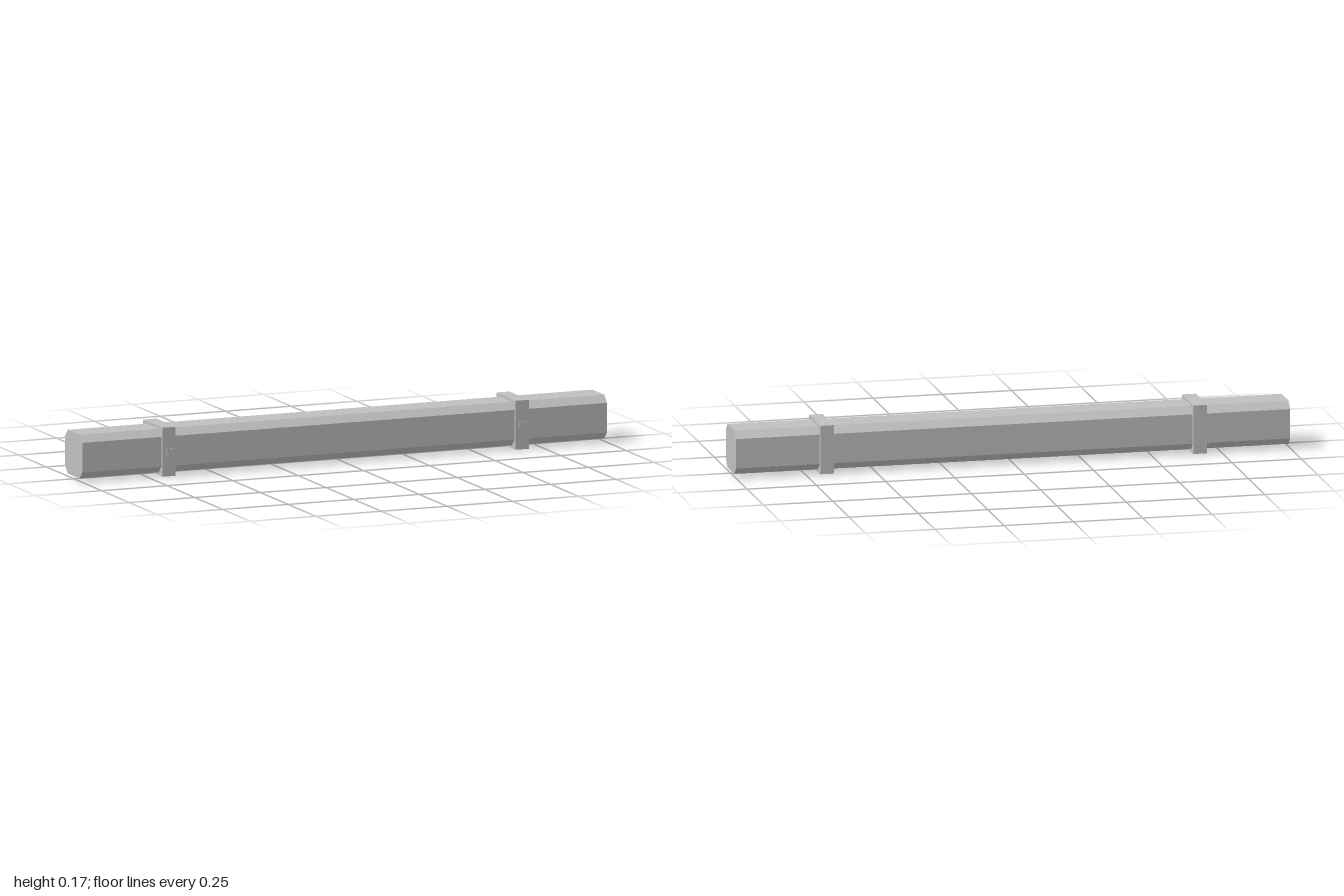
import * as THREE from 'three';

export function createModel() {
  const model = new THREE.Group();
  model.name = 'bandedBeam';
  const grey = new THREE.MeshStandardMaterial({ color: 0xc0c0c0 });
  grey.name = 'grey';

  const box = (name, w, h, d, x, y, z, parent) => {
    const mesh = new THREE.Mesh(new THREE.BoxGeometry(w, h, d), grey);
    mesh.name = name;
    mesh.position.set(x, y, z);
    parent.add(mesh);
  };

  // Long beam with chamfered edges, extruded along x
  const h = 0.078, c = 0.053;
  const section = new THREE.Shape([
    [h, -c], [h, c], [c, h], [-c, h], [-h, c], [-h, -c], [-c, -h], [c, -h],
  ].map(([x, y]) => new THREE.Vector2(x, y)));
  const beamGeometry = new THREE.ExtrudeGeometry(section, { depth: 2, bevelEnabled: false });
  beamGeometry.translate(0, 0, -1).rotateY(Math.PI / 2);
  const beam = new THREE.Mesh(beamGeometry, grey);
  beam.name = 'beam';
  beam.position.set(0, 0.088, -0.002);
  model.add(beam);

  // Square bands, each with a small bolt on the front
  for (const [side, x] of [['left', 0.673], ['right', -0.673]]) {
    const band = new THREE.Group();
    band.name = side + 'Band';
    band.position.x = x;
    model.add(band);
    box(side + 'Strap', 0.05, 0.175, 0.175, 0, 0.0875, -0.0025, band);
    box(side + 'Bolt', 0.02, 0.02, 0.01, 0, 0.088, 0.086, band);
  }
  return model;
}
